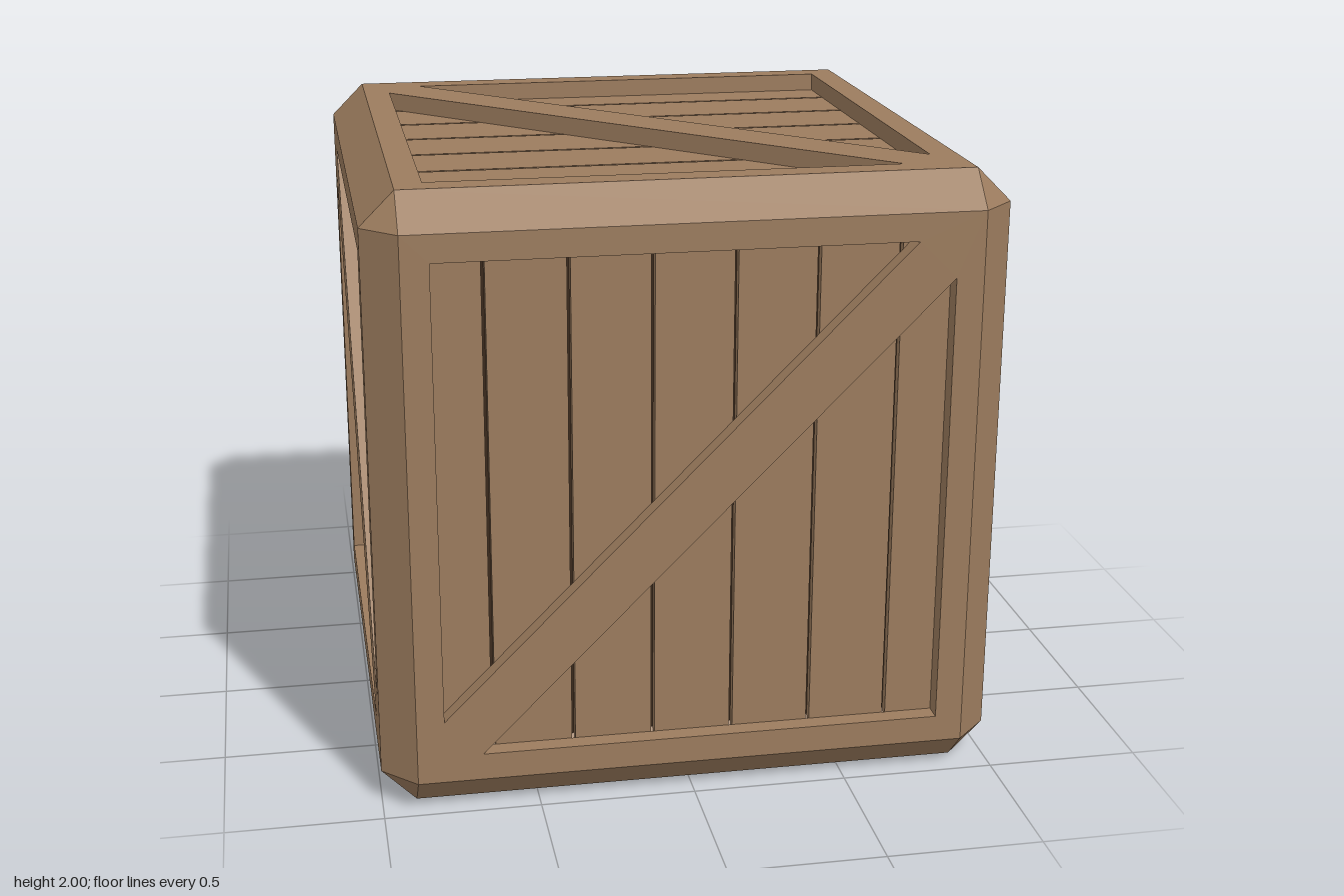
import * as THREE from 'three';

const EDGE = 0.89;      // half width of each flat face
const CHAMFER = 0.11;
const OPEN = 0.802;     // half width of the panel opening
const CUT = 0.682;      // where the brace meets the opening
const DEPTH = 0.06;     // recess of the planks
const PITCH = 0.2567, GAP = 0.011, PLANK_DEPTH = 0.03;

export function createModel() {
  const wood = new THREE.MeshStandardMaterial({ color: 0x9c7c5e });
  wood.name = 'wood';
  const dark = new THREE.MeshStandardMaterial({ color: 0x3a291b });
  dark.name = 'dark gap';

  const crate = new THREE.Group();
  crate.name = 'crate';
  const body = new THREE.Group();
  body.name = 'body';
  body.position.y = 1;
  crate.add(body);

  const add = (parent, name, geometry, material, x = 0, y = 0, z = 0) => {
    const mesh = new THREE.Mesh(geometry, material);
    mesh.name = name;
    mesh.position.set(x, y, z);
    parent.add(mesh);
    return mesh;
  };

  // Frame with a flush diagonal brace: a square with two triangular holes
  const frameGeometry = (side) => {
    const shape = new THREE.Shape([[-1, -1], [1, -1], [1, 1], [-1, 1]]
      .map(([x, y]) => new THREE.Vector2(x * EDGE, y * EDGE)));
    for (const s of [1, -1]) {
      shape.holes.push(new THREE.Path([[-OPEN, OPEN], [CUT, OPEN], [-OPEN, -CUT]]
        .map(([x, y]) => new THREE.Vector2(x * s * side, y * s))));
    }
    return new THREE.ExtrudeGeometry(shape, { depth: DEPTH, bevelEnabled: false });
  };
  const rising = frameGeometry(1), falling = frameGeometry(-1);
  const upright = new THREE.BoxGeometry(PITCH - GAP, 1.7, PLANK_DEPTH);
  const level = new THREE.BoxGeometry(1.7, PITCH - GAP, PLANK_DEPTH);

  // One side of the crate, facing +z before it is turned
  const addSide = (name, rx, ry, frame, horizontal, shift) => {
    const side = new THREE.Group();
    side.name = name;
    side.rotation.set(rx, ry, 0);
    add(side, 'framedBrace', frame, wood, 0, 0, 1 - DEPTH);
    const z = 1 - DEPTH - PLANK_DEPTH / 2;
    for (let i = -3; i <= 3; i++) {
      const p = i * PITCH + shift;
      if (horizontal) add(side, 'plank', level, wood, 0, p, z);
      else add(side, 'plank', upright, wood, p, 0, z);
    }
    body.add(side);
  };
  const q = Math.PI / 2;
  addSide('frontSide', 0, 0, rising, false, 0);
  addSide('backSide', 0, 2 * q, rising, false, 0);
  addSide('rightSide', 0, q, falling, false, 0.013);
  addSide('leftSide', 0, -q, falling, false, 0.013);
  addSide('topSide', -q, 0, falling, true, 0);
  addSide('bottomSide', q, 0, falling, true, 0);

  // Dark core seen through the gaps between planks
  const core = 2 * (1 - DEPTH - PLANK_DEPTH);
  add(body, 'core', new THREE.BoxGeometry(core, core, core), dark);

  // Chamfered edges: four-sided bars whose outer face forms the bevel
  const bar = new THREE.CylinderGeometry(CHAMFER, CHAMFER, 2 * EDGE, 4).toNonIndexed();
  bar.computeVertexNormals();
  const corner = new THREE.OctahedronGeometry(CHAMFER);
  for (const a of [-EDGE, EDGE]) {
    for (const b of [-EDGE, EDGE]) {
      add(body, 'edgeBevel', bar, wood, a, 0, b);
      add(body, 'edgeBevel', bar, wood, 0, a, b).rotation.z = q;
      add(body, 'edgeBevel', bar, wood, a, b, 0).rotation.x = q;
      // Triangular corners
      for (const c of [-EDGE, EDGE]) add(body, 'cornerBevel', corner, wood, a, b, c);
    }
  }
  return crate;
}
